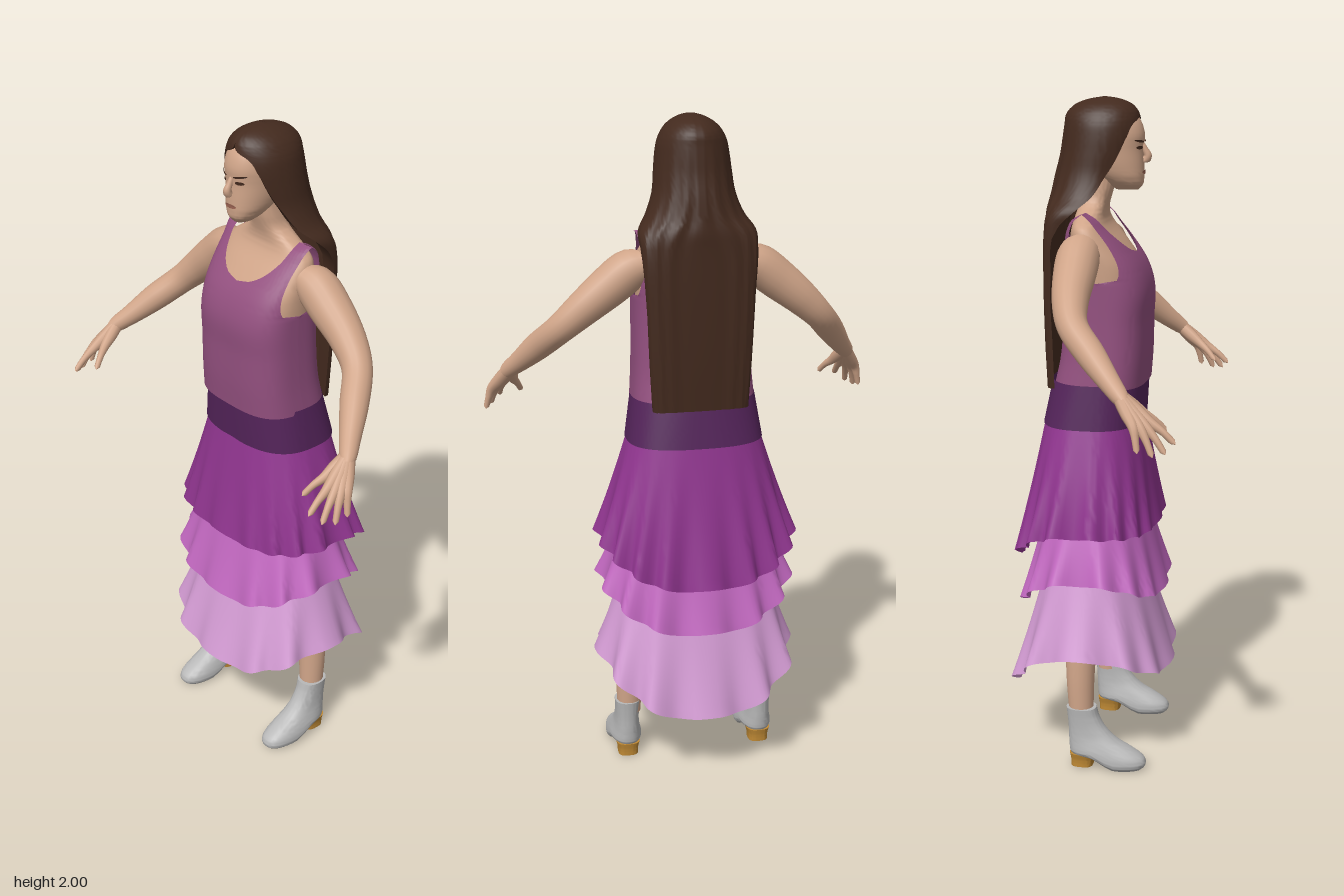
import * as THREE from 'three';
import { mergeVertices, toCreasedNormals } from 'three/addons/utils/BufferGeometryUtils.js';

const { sin, cos, abs, sign, PI, sqrt, max, min } = Math;
const lerp = THREE.MathUtils.lerp;
const spow = (v, e) => sign(v) * abs(v) ** e;

// Smooth interpolation of rows [y, ...values] by their first column
function sampler(rows) {
  const n = rows[0].length - 1;
  const f = new THREE.CubicInterpolant(rows.map(r => r[0]), new Float32Array(rows.flatMap(r => r.slice(1))), n);
  return y => Array.from(f.evaluate(y));
}
// Heights of the rows, each interval cut into steps
function levels(rows, steps) {
  const out = [rows[0][0]];
  for (let i = 1; i < rows.length; i++)
    for (let k = 1; k <= steps; k++) out.push(lerp(rows[i - 1][0], rows[i][0], k / steps));
  return out;
}
// Surface from a rule point(i, j); columns run counter-clockwise seen from above, rows upward
function grid(rows, cols, point, flip = false) {
  const pos = [], idx = [];
  for (let i = 0; i <= rows; i++) for (let j = 0; j <= cols; j++) pos.push(...point(i, j));
  for (let i = 0; i < rows; i++) for (let j = 0; j < cols; j++) {
    const a = i * (cols + 1) + j, b = a + 1, c = a + cols + 1, d = c + 1;
    idx.push(...(flip ? [a, c, b, b, c, d] : [a, b, c, b, d, c]));
  }
  const g = new THREE.BufferGeometry();
  g.setAttribute('position', new THREE.Float32BufferAttribute(pos, 3));
  g.setIndex(idx);
  return toCreasedNormals(mergeVertices(g, 1e-5), 1.1);
}
// Point on a rounded ring; angle 0 is the front, then towards +x
function ring(a, w, zf, zb, n) {
  return [w * spow(sin(a), 2 / n), (zf + zb) / 2 + (zf - zb) / 2 * spow(cos(a), 2 / n)];
}
// Closed body through sections [y, halfWidth, zFront, zBack]
function loft(rows, { n = 2.3, steps = 4, sides = 40, x0 = 0, warp = (x, y) => y } = {}) {
  const s = sampler(rows), ys = levels(rows, steps), last = ys.length + 1;
  return grid(last, sides, (i, j) => {
    const y = ys[min(max(i - 1, 0), ys.length - 1)], [w, zf, zb] = s(y);
    const cap = i === 0 || i === last, mid = (zf + zb) / 2;
    const [x, z] = cap ? [0, mid] : ring(j % sides / sides * 2 * PI, w, zf, zb, n);
    return [x + x0, warp(z, y), z];
  });
}
// Tapering limb through points [x, y, z, radius]
function limb(pts, side = 1, segs = 24, sides = 16) {
  const curve = new THREE.CatmullRomCurve3(pts.map(p => new THREE.Vector3(p[0] * side, p[1], p[2])));
  const radius = sampler(pts.map((p, i) => [i, p[3]]));
  const g = new THREE.TubeGeometry(curve, segs, 1, sides), p = g.attributes.position, nr = g.attributes.normal;
  for (let i = 0; i < p.count; i++) {
    const u = Math.floor(i / (sides + 1)) / segs;
    const r = radius(curve.getUtoTmapping(u) * (pts.length - 1))[0] - 1;
    p.setXYZ(i, p.getX(i) + nr.getX(i) * r, p.getY(i) + nr.getY(i) * r, p.getZ(i) + nr.getZ(i) * r);
  }
  return g;
}

export function createModel() {
  const model = new THREE.Group();
  const mat = (name, color, open = false) => {
    const m = new THREE.MeshStandardMaterial({ color, side: open ? THREE.DoubleSide : THREE.FrontSide });
    m.name = name;
    return m;
  };
  const skin = mat('skin', 0xcfa488), hairMat = mat('dark brown hair', 0x432a1e, true);
  const plum = mat('plum top', 0x93507f, true), dark = mat('dark purple', 0x54245a, true);
  const purple = mat('purple', 0x90358f, true), orchid = mat('orchid', 0xc268c0, true);
  const lilac = mat('lilac', 0xd39bd3, true), grey = mat('boot grey', 0xb8b8b8);
  const tan = mat('heel tan', 0xc08a35), lipMat = mat('lip', 0x96604f, true);
  const add = (name, geo, material) => {
    const m = new THREE.Mesh(geo, material);
    m.name = name;
    model.add(m);
  };

  // Head and face
  const headRows = [[1.735, .022, .086, .02], [1.748, .038, .098, 0], [1.77, .054, .102, -.03], [1.8, .065, .102, -.07],
    [1.85, .073, .1, -.1], [1.9, .076, .102, -.11], [1.95, .066, .078, -.105], [1.985, .035, .03, -.07]];
  add('head', loft(headRows, { n: 2.2, steps: 5 }), skin);
  const headAt = sampler(headRows);
  const plate = (name, cx, cy, rx, ry, tilt, material) => {
    const g = new THREE.CircleGeometry(1, 16), p = g.attributes.position;
    for (let i = 0; i < p.count; i++) {
      const x = cx + p.getX(i) * rx, y = cy + p.getY(i) * ry + p.getX(i) * tilt, [w, zf, zb] = headAt(y);
      p.setXYZ(i, x, y, (zf + zb) / 2 + (zf - zb) / 2 * (1 - min(1, abs(x / w)) ** 2.2) ** (1 / 2.2) + .003);
    }
    g.computeVertexNormals();
    add(name, g, material);
  };
  for (const s of [1, -1]) {
    plate('eye', s * .031, 1.857, .013, .005, 0, hairMat);
    plate('eyebrow', s * .032, 1.875, .019, .0035, s * .003, hairMat);
  }
  plate('lips', 0, 1.786, .023, .006, 0, lipMat);
  add('nose', limb([[0, 1.872, .094, .006], [0, 1.85, .105, .009], [0, 1.832, .113, .012], [0, 1.822, .108, .012], [0, 1.814, .098, .002]], 1, 16, 12), skin);

  // Neck, chest and shoulders
  add('neckAndChest', loft([[1.4, .16, .105, -.112], [1.52, .166, .088, -.112], [1.58, .167, .045, -.108], [1.63, .158, .004, -.1],
    [1.655, .125, -.006, -.095], [1.68, .083, -.005, -.09], [1.7, .06, 0, -.085], [1.74, .05, .012, -.08], [1.8, .047, .02, -.075]], { n: 2.5 }), skin);

  // Hair: rows [y, halfWidth, centre z, depth, opening angle, squareness]
  const hairRows = [[1.16, .143, -.137, .03, 90, .5], [1.3, .151, -.14, .032, 90, .5], [1.5, .16, -.141, .033, 90, .5],
    [1.64, .17, -.12, .053, 91, .6], [1.68, .17, -.09, .083, 97, .75], [1.72, .144, -.062, .106, 106, .9],
    [1.78, .121, -.045, .113, 119, 1], [1.84, .113, -.03, .114, 129, 1], [1.89, .107, -.022, .115, 139, 1],
    [1.925, .1, -.02, .112, 151, 1], [1.945, .091, -.02, .109, 175, 1], [1.965, .077, -.018, .098, 180, 1],
    [1.985, .05, -.015, .07, 180, 1], [1.997, .018, -.012, .027, 180, 1], [2, .001, -.01, .001, 180, 1]];
  const hairAt = sampler(hairRows), hairY = levels(hairRows, 4), hc = 72;
  add('hair', grid(hairY.length - 1, hc, (i, j) => {
    const y = hairY[i], [w, zc, d, open, e] = hairAt(y);
    const edge = j === 0 || j === hc, t = min(max((j - 1) / (hc - 2), 0), 1) * 2 - 1;
    const a = -t * min(open, 180) * PI / 180, strand = 1 + .035 * cos(a * 17) * min(1, max(0, (1.95 - y) * 4));
    const x = w * spow(sin(a), e), z = zc - d * strand * spow(cos(a), e);
    return edge ? [x * .62, y, z - .015] : [x, y, z];
  }), hairMat);

  // Sleeveless top: front and back sheets meeting at the sides and over the shoulders
  const topRows = [[1.168, .184, .118, -.152], [1.25, .178, .124, -.135], [1.35, .175, .126, -.127], [1.45, .175, .127, -.126],
    [1.52, .176, .104, -.126], [1.58, .177, .062, -.12], [1.63, .177, .018, -.108], [1.66, .177, -.012, -.085], [1.677, .176, -.045, -.047]];
  const topAt = sampler(topRows), topY = levels(topRows, 7);
  for (const s of [1, -1]) for (const front of [true, false])
    add(front ? 'topFront' : 'topBack', grid(topY.length - 1, 20, (i, j) => {
      const y = topY[i], [w, zf, zb] = topAt(y), low = front ? 1.555 : 1.6;
      const k = max(0, (y - low) / (1.677 - low)), inner = .124 * sqrt(max(0, 1 - (1 - k) ** 2));
      const outer = w - (y > 1.48 ? .018 * sqrt(max(0, sin(PI * (y - 1.48) / .197))) : 0);
      const x = lerp(inner, outer, sin(j / 20 * PI / 2));
      const z = (zf - zb) / 2 * max(0, 1 - (x / w) ** 3) ** (1 / 3);
      return [s * x, y, (zf + zb) / 2 + (front ? z : -z)];
    }, (s > 0) !== front), plum);

  // Waistband and three ruffled tiers, higher at the sides than at front and back
  const tier = (name, material, yTop, top, hem, [hf, hs, hb], folds, amp) => {
    const cols = 144, rows = 14;
    add(name, grid(rows, cols, (i, j) => {
      const a = j % cols / cols * 2 * PI, t = 1 - i / rows, c = cos(a);
      const y = lerp(yTop, lerp(hs, c > 0 ? hf : hb, c * c) + amp * .12 * cos(a * folds), t);
      const [x, z] = ring(a, ...top.map((v, k) => lerp(v, hem[k], t)), 2.4 + .3 * t);
      const wave = 1 + amp * t * t * cos(a * folds + .6 * sin(2 * a));
      return [x * wave, y, z * wave];
    }), material);
  };
  tier('waistband', dark, 1.18, [.186, .116, -.163], [.205, .106, -.188], [1.05, 1.05, 1.05], 1, 0);
  tier('upperTier', purple, 1.06, [.2, .105, -.185], [.295, .155, -.265], [.73, .745, .63], 18, .05);
  tier('middleTier', orchid, .82, [.21, .1, -.175], [.29, .175, -.25], [.52, .6, .48], 14, .05);
  tier('lowerTier', lilac, .64, [.215, .09, -.175], [.298, .195, -.28], [.275, .365, .215], 12, .05);

  for (const s of [1, -1]) {
    // Arm and hand
    add('arm', limb([[.15, 1.575, -.047, .045], [.19, 1.563, -.05, .061], [.25, 1.518, -.05, .061], [.33, 1.452, -.045, .052],
      [.39, 1.395, -.025, .044], [.45, 1.328, .04, .041], [.5, 1.268, .1, .031], [.53, 1.235, .135, .025], [.54, 1.222, .148, .018]], s, 36, 18), skin);
    const fingers = { thumb: [.508, 1.185, .2, .48, 1.135, .255], indexFinger: [.542, 1.17, .222, .545, 1.115, .29],
      middleFinger: [.56, 1.162, .213, .575, 1.093, .268], ringFinger: [.573, 1.16, .2, .593, 1.088, .236], littleFinger: [.58, 1.163, .182, .597, 1.098, .195] };
    for (const [name, [kx, ky, kz, tx, ty, tz]] of Object.entries(fingers))
      add(name, limb([[.528, 1.238, .132, .02], [lerp(.528, kx, .55), lerp(1.238, ky, .55), lerp(.132, kz, .55), .019], [kx, ky, kz, .014],
        [lerp(kx, tx, .5), lerp(ky, ty, .5) + .004, lerp(kz, tz, .5), .01], [lerp(kx, tx, .93), lerp(ky, ty, .93), lerp(kz, tz, .93), .008], [tx, ty, tz, .001]], s, 18, 10), skin);

    // Leg, ankle boot and heel
    add('leg', limb([[.11, .98, -.04, .085], [.15, .65, -.03, .066], [.195, .42, -.045, .05], [.206, .29, -.048, .043], [.208, .15, -.045, .036]], s, 24, 20), skin);
    add('boot', loft([[0, .04, .142, -.07], [.012, .05, .154, -.077], [.035, .051, .15, -.08], [.06, .046, .115, -.081],
      [.085, .041, .07, -.082], [.12, .037, .033, -.083], [.16, .037, .01, -.086], [.19, .039, .002, -.089]], {
      x0: s * .213, n: 2.4,
      warp: (z, y) => y + .036 * THREE.MathUtils.smoothstep(.07 - z, 0, .09) * max(0, 1 - y / .1),
    }), grey);
    add('bootHeel', loft([[0, .031, -.008, -.074], [.02, .032, -.002, -.075], [.042, .038, .012, -.079]], { x0: s * .213, n: 3 }), tan);
  }
  return model;
}
